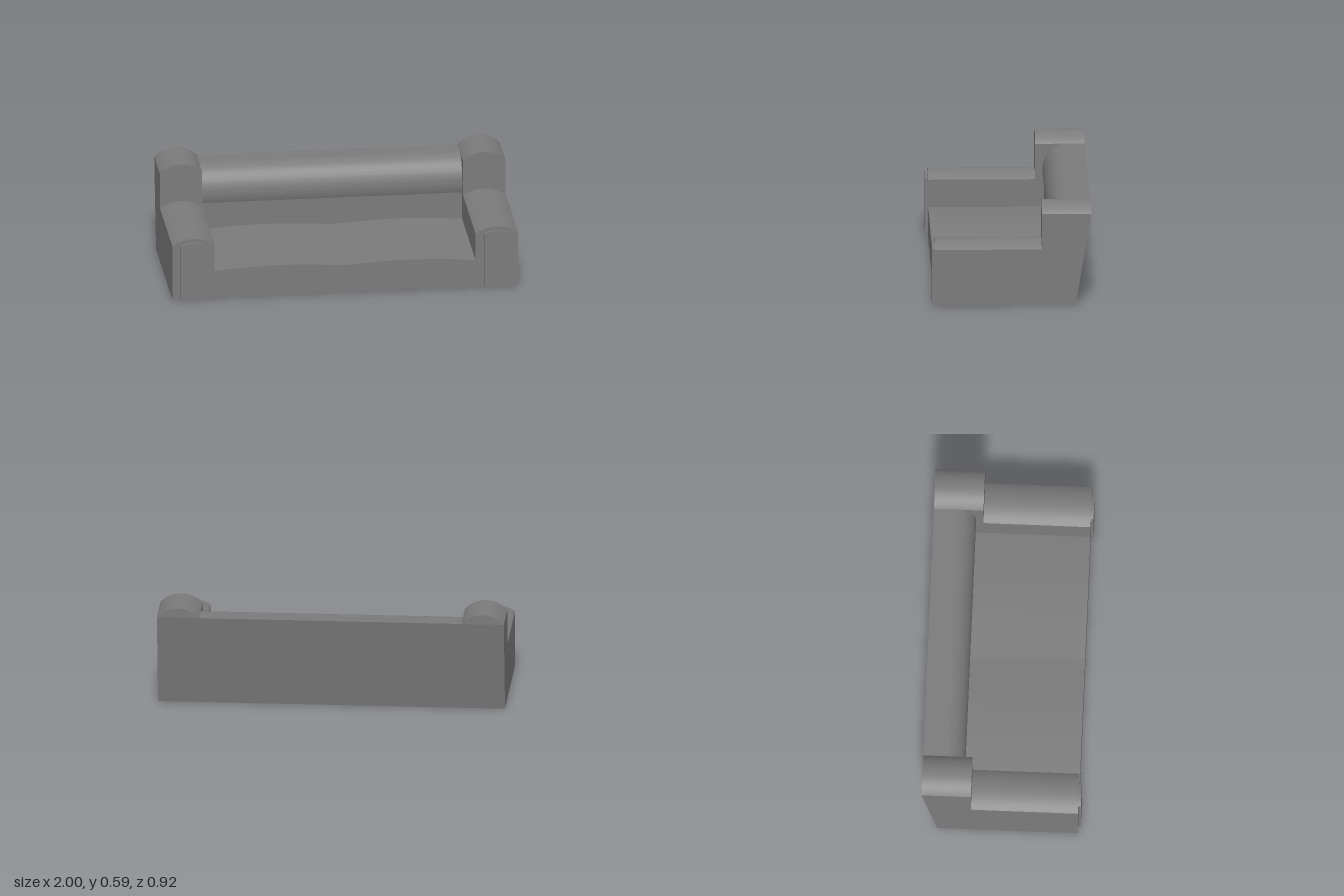
import * as THREE from 'three';
import { toCreasedNormals } from 'three/addons/utils/BufferGeometryUtils.js';

const material = new THREE.MeshStandardMaterial({ color: 0x7b7b7b });
const ARM_X = 0.8775, ARM_W = 0.245; // arm centre and width
const FRONT = 0.443, POST = -0.173, BACK = -0.458, FOOT = -0.367, WALL = -0.225;
const ARM_Y = 0.327, TOP_Y = 0.536;

function addPart(group, name, geometry) {
  const mesh = new THREE.Mesh(toCreasedNormals(geometry, 0.25), material);
  mesh.name = name;
  group.add(mesh);
}

const shapeOf = (points) => new THREE.Shape(points.map(([a, b]) => new THREE.Vector2(a, b)));

// Extrude an (x, y) outline from z0 to z1
function alongZ(points, z0, z1) {
  return new THREE.ExtrudeGeometry(shapeOf(points), { depth: z1 - z0, bevelEnabled: false })
    .translate(0, 0, z0);
}

// Extrude a (z, y) outline across x, centred on cx
function alongX(points, cx, width) {
  return new THREE.ExtrudeGeometry(shapeOf(points), { depth: width, bevelEnabled: false })
    .translate(0, 0, -width / 2).rotateY(-Math.PI / 2).translate(cx, 0, 0);
}

// Circular arc from right to left, with its ends at height y
function arch(cx, width, y, rise) {
  const h = width / 2, r = (h * h + rise * rise) / (2 * rise), half = Math.asin(h / r);
  const points = [];
  for (let i = 0; i <= 24; i++) {
    const a = half * (1 - i / 12);
    points.push([cx + r * Math.sin(a), y + rise - r + r * Math.cos(a)]);
  }
  return points;
}

export function createModel() {
  const group = new THREE.Group();
  group.name = 'sofa';
  const inner = 2 * (ARM_X - ARM_W / 2);

  // Seat with two softly domed cushions
  const seat = [[-inner / 2, 0], [inner / 2, 0]];
  for (let i = 0; i <= 48; i++) {
    const t = 1 - i / 24;
    seat.push([t * inner / 2, 0.165 + 0.018 * Math.abs(Math.sin(t * Math.PI))]);
  }
  addPart(group, 'seat', alongZ(seat, WALL, FRONT));

  // Backrest with a bulging, slightly overhanging front and a leaning rear
  const back = [[FOOT, 0], [WALL, 0]];
  const low = -Math.acos((WALL + 0.345) / 0.13);
  const bulge = (TOP_Y - ARM_Y) / (1 - Math.sin(low));
  for (let i = 0; i <= 32; i++) {
    const a = low + (i / 32) * (Math.PI / 2 - low);
    back.push([-0.345 + 0.13 * Math.cos(a), TOP_Y - bulge + bulge * Math.sin(a)]);
  }
  back.push([BACK, TOP_Y]);
  addPart(group, 'backrest', alongX(back, 0, inner));

  // Arms: stepped body, rounded tops and a raised front panel
  const armSide = [[FOOT, 0], [FRONT, 0], [FRONT, ARM_Y], [POST, ARM_Y], [POST, TOP_Y], [BACK, TOP_Y]];
  for (const [label, side] of [['left', 1], ['right', -1]]) {
    const cx = side * ARM_X, px = side * 0.88;
    const arm = new THREE.Group();
    arm.name = label + 'Arm';
    addPart(arm, label + 'ArmBody', alongX(armSide, cx, ARM_W));
    addPart(arm, label + 'ArmTop', alongZ(arch(cx, ARM_W, ARM_Y, 0.038), POST, FRONT));
    addPart(arm, label + 'PostTop', alongZ(arch(cx, ARM_W, TOP_Y, 0.055), BACK, POST));
    const panel = [[px - 0.075, 0], [px + 0.075, 0], ...arch(px, 0.15, 0.325, 0.018)];
    addPart(arm, label + 'FrontPanel', alongZ(panel, FRONT, 0.458));
    group.add(arm);
  }
  return group;
}
